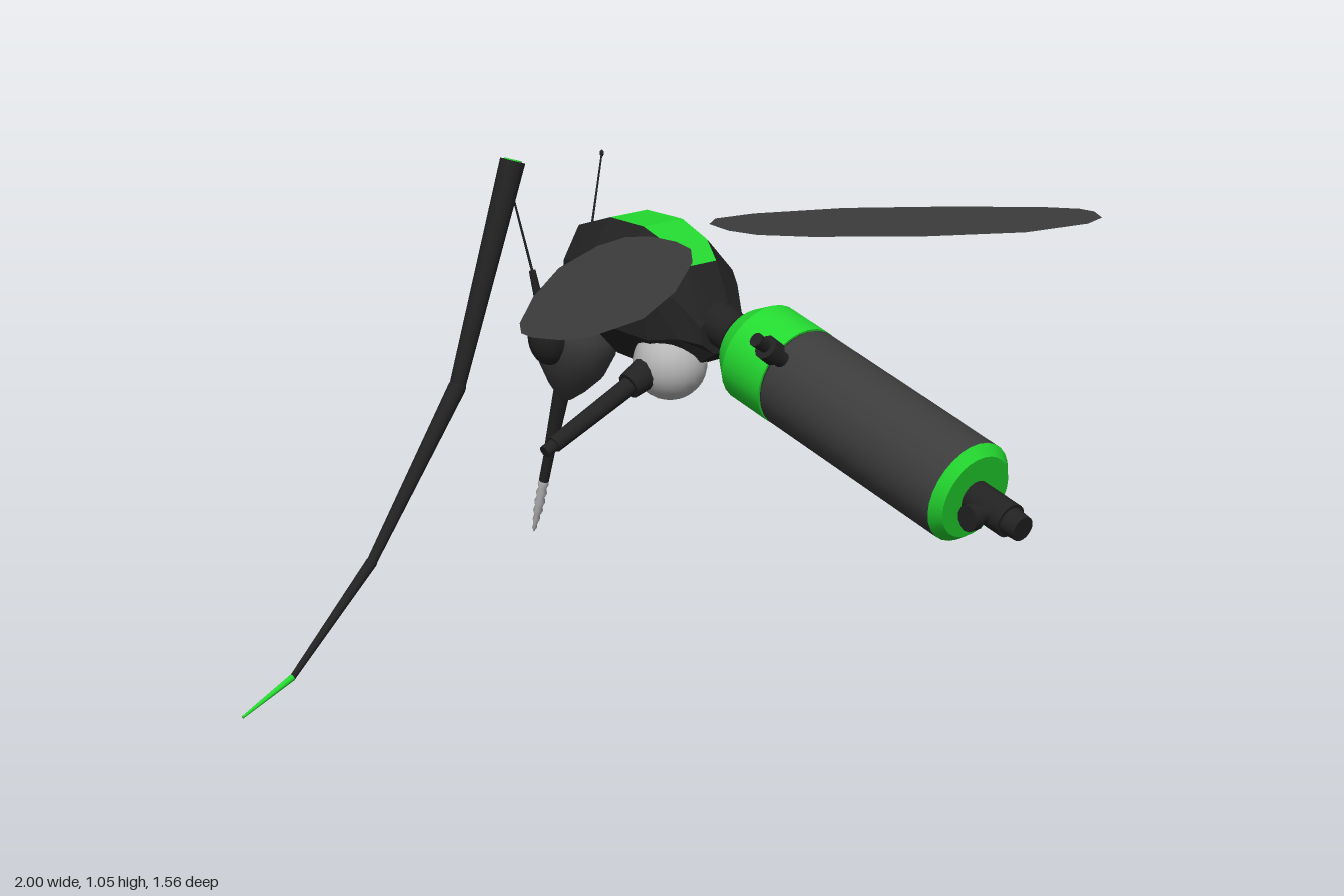
import * as THREE from 'three';

const mat = (name, color, extra = {}) => new THREE.MeshStandardMaterial({ name, color, ...extra });
const V = (x, y, z) => new THREE.Vector3(x, y, z);
const CX = 0.2; // the body's mirror plane

export function createModel() {
  const root = new THREE.Group();
  root.name = 'mechanicalMosquito';
  const grey = mat('charcoal', 0x3c3c3c);
  const black = mat('black', 0x222222);
  const green = mat('green', 0x24d930);
  const steel = mat('steel', 0xb8b8b8);
  const wingMat = mat('wingCharcoal', 0x3c3c3c, { side: THREE.DoubleSide });

  const add = (parent, name, geo, material) => {
    const m = new THREE.Mesh(geo, material);
    m.name = name;
    parent.add(m);
    return m;
  };
  // tapered rod between two points
  const rod = (parent, name, a, b, ra, rb, material, sides = 12) => {
    const m = add(parent, name, new THREE.CylinderGeometry(rb, ra, a.distanceTo(b), sides), material);
    m.position.copy(a).add(b).multiplyScalar(0.5);
    m.quaternion.setFromUnitVectors(V(0, 1, 0), b.clone().sub(a).normalize());
    return m;
  };
  const ball = (parent, name, p, rx, ry, rz, material, sides = 16) => {
    const m = add(parent, name, new THREE.SphereGeometry(1, sides, sides * 0.75), material);
    m.scale.set(rx, ry, rz);
    m.position.copy(p);
    return m;
  };

  // thorax: octagonal sections [zTop, yTop, zBottom, yBottom, halfWidth], rear to front
  const sections = [
    [-0.125, 0.665, -0.12, 0.575, 0.06], [-0.185, 0.76, -0.155, 0.55, 0.092],
    [-0.23, 0.797, -0.225, 0.522, 0.125], [-0.315, 0.827, -0.31, 0.52, 0.134],
    [-0.43, 0.827, -0.41, 0.525, 0.13], [-0.555, 0.785, -0.505, 0.56, 0.095],
    [-0.605, 0.70, -0.545, 0.61, 0.06],
  ];
  const c8 = Math.cos(Math.PI / 8);
  const rings = sections.map(([zt, yt, zb, yb, hw]) => Array.from({ length: 8 }, (_, k) => {
    const a = (k + 0.5) * Math.PI / 4, f = Math.cos(a) / c8;
    return V(CX + hw * Math.sin(a) / c8, (yt + yb) / 2 + f * (yt - yb) / 2, (zt + zb) / 2 + f * (zt - zb) / 2);
  }));
  const shell = [], stripe = [];
  for (let i = 0; i < rings.length - 1; i++) {
    for (let k = 0; k < 8; k++) {
      const n = (k + 1) % 8;
      const a = rings[i][k], b = rings[i][n], c = rings[i + 1][n], d = rings[i + 1][k];
      (k === 7 && i >= 1 && i <= 4 ? stripe : shell).push(a, b, c, a, c, d);
    }
  }
  const last = rings[rings.length - 1];
  for (let k = 1; k < 7; k++) {
    shell.push(rings[0][0], rings[0][k + 1], rings[0][k]);
    shell.push(last[0], last[k], last[k + 1]);
  }
  for (const [name, pts, m] of [['thorax', shell, black], ['backStripe', stripe, green]]) {
    const g = new THREE.BufferGeometry().setFromPoints(pts);
    g.computeVertexNormals();
    add(root, name, g, m);
  }

  // abdomen: canister along local y, pointing forward and up
  const abdomen = new THREE.Group();
  abdomen.name = 'abdomen';
  abdomen.position.set(CX, 0.435, 0.62);
  abdomen.rotation.x = -75 * Math.PI / 180;
  root.add(abdomen);
  [
    ['tailNozzle', -0.125, -0.02, 0.037, 0.037, black],
    ['tailTip', -0.16, -0.125, 0.027, 0.03, black],
    ['tailCap', -0.022, 0, 0.092, 0.112, green],
    ['canister', 0, 0.514, 0.112, 0.112, grey],
    ['seam', 0.514, 0.52, 0.108, 0.108, black],
    ['collar', 0.52, 0.637, 0.113, 0.113, green],
    ['collarShoulder', 0.637, 0.685, 0.113, 0.08, green],
    ['neckFlare', 0.685, 0.72, 0.074, 0.045, black],
    ['neck', 0.72, 0.79, 0.045, 0.047, black],
  ].forEach(([name, y0, y1, r0, r1, m]) => rod(abdomen, name, V(0, y0, 0), V(0, y1, 0), r0, r1, m, 28));
  rod(abdomen, 'nozzleStub', V(0, -0.08, 0), V(-0.06, -0.08, 0), 0.02, 0.02, black);
  rod(abdomen, 'nozzleKnob', V(-0.06, -0.08, 0), V(-0.08, -0.08, 0), 0.028, 0.028, black);

  // side valve on the canister
  rod(root, 'valveStem', V(0.13, 0.62, 0.155), V(0.07, 0.667, 0.155), 0.018, 0.018, black);
  rod(root, 'valveKnob', V(0.095, 0.648, 0.155), V(0.07, 0.667, 0.155), 0.027, 0.027, black);
  rod(root, 'valveTip', V(0.07, 0.667, 0.155), V(0.043, 0.688, 0.155), 0.013, 0.016, black);

  // hip ball joint and short upper leg
  ball(root, 'hipBall', V(0.145, 0.54, -0.23), 0.082, 0.082, 0.082, steel, 20);
  rod(root, 'hipSocket', V(0.085, 0.53, -0.235), V(0.03, 0.507, -0.235), 0.036, 0.03, black);
  rod(root, 'upperLeg', V(0.03, 0.507, -0.235), V(-0.18, 0.417, -0.235), 0.021, 0.018, black);
  rod(root, 'upperLegPin', V(-0.18, 0.417, -0.235), V(-0.205, 0.406, -0.235), 0.014, 0.014, black);

  // separate lower leg
  const joints = [[-0.285, 1.05, 0.027], [-0.44, 0.595, 0.019], [-0.67, 0.265, 0.012], [-0.875, 0.065, 0.007], [-1, 0.01, 0.003]];
  for (let i = 0; i < 4; i++) {
    const [ax, ay, ar] = joints[i], [bx, by, br] = joints[i + 1];
    rod(root, i === 3 ? 'foot' : 'legSegment', V(ax, ay, -0.23), V(bx, by, -0.23), ar, br * 0.9, i === 3 ? green : black);
    if (i > 0 && i < 3) ball(root, 'legJoint', V(ax, ay, -0.23), ar, ar, ar, black, 12);
  }
  rod(root, 'legTopInsert', V(-0.285, 1.05, -0.23), V(-0.2842, 1.0524, -0.23), 0.019, 0.019, green, 16);

  // head and proboscis along local y, tip at the origin
  const head = new THREE.Group();
  head.name = 'head';
  head.position.set(CX, 0.008, -0.775);
  head.rotation.x = 0.288;
  root.add(head);
  const profile = [[0, 0.37], [0.02, 0.372], [0.05, 0.405], [0.085, 0.455], [0.102, 0.515], [0.1, 0.56], [0.075, 0.61], [0.035, 0.638], [0, 0.645]];
  const skull = add(head, 'skull', new THREE.LatheGeometry(profile.map(p => new THREE.Vector2(...p)), 20), grey);
  skull.scale.x = 0.85;
  skull.position.z = 0.012;
  rod(head, 'proboscisUpper', V(0, 0.24, 0), V(0, 0.39, 0), 0.015, 0.02, black);
  rod(head, 'proboscisLower', V(0, 0.14, 0), V(0, 0.24, 0), 0.012, 0.013, black);
  // drill bit with ridges
  const bit = [new THREE.Vector2(0, 0)];
  for (let i = 1; i <= 12; i++) bit.push(new THREE.Vector2(Math.min(0.013, 0.004 + i * 0.0015) * (i % 2 ? 1 : 0.7), i * 0.0119));
  add(head, 'drillBit', new THREE.LatheGeometry(bit, 12), steel);

  // wing outline (x, z), mirrored for the other side
  const outline = [[-0.6, 0.214], [-0.57, 0.265], [-0.505, 0.284], [-0.345, 0.25], [-0.16, 0.134], [0.03, -0.027],
    [0.105, -0.117], [0.125, -0.187], [0.115, -0.26], [0.07, -0.29], [-0.024, -0.27], [-0.21, -0.176], [-0.4, -0.027], [-0.55, 0.115], [-0.595, 0.175]];
  for (const s of [-1, 1]) {
    const side = s > 0 ? 'left' : 'right';
    const pts = outline.map(([x, z]) => new THREE.Vector2(CX - s * (x - CX), z));
    const wing = add(root, side + 'Wing', new THREE.ShapeGeometry(new THREE.Shape(pts)).rotateX(Math.PI / 2), wingMat);
    wing.position.y = 0.82;

    const eye = ball(root, side + 'Eye', V(CX + s * 0.075, 0.53, -0.615), 0.05, 0.073, 0.052, black, 20);
    eye.rotation.x = 0.1;

    // antenna
    const base = V(CX + s * 0.062, 0.58, -0.665), mid = V(CX + s * 0.08, 0.665, -0.67), tip = V(CX + s * 0.138, 0.9, -0.685);
    rod(root, side + 'AntennaBase', base, mid, 0.011, 0.008, black, 10);
    rod(root, side + 'Antenna', mid, tip, 0.003, 0.002, black, 6);
    ball(root, side + 'AntennaTip', tip, 0.005, 0.008, 0.005, black, 8);
  }
  return root;
}
